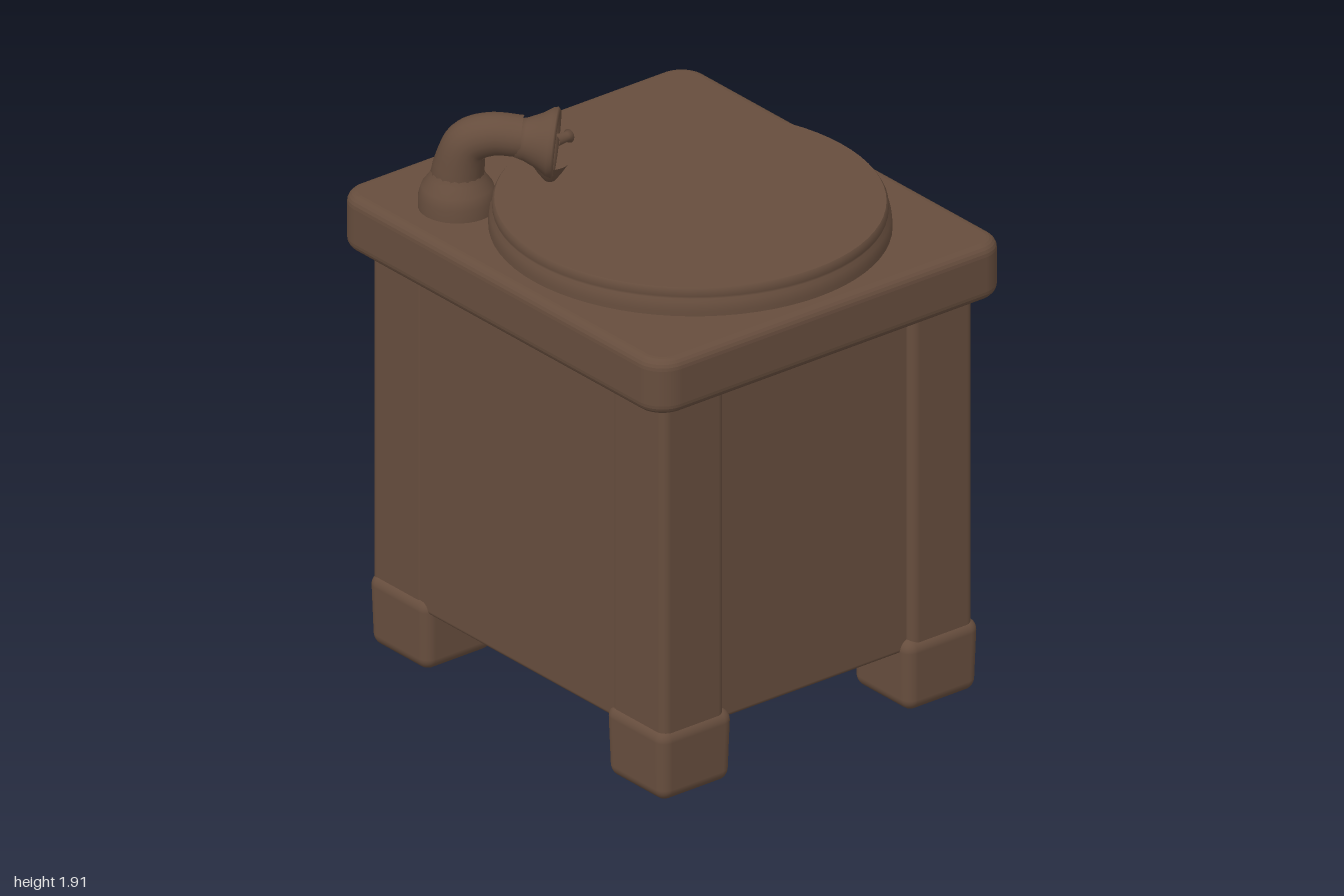
import * as THREE from 'three';
import { RoundedBoxGeometry } from 'three/addons/geometries/RoundedBoxGeometry.js';

const V = (x, y, z) => new THREE.Vector3(x, y, z);

export function createModel() {
  const model = new THREE.Group();
  model.name = 'phonographCabinet';
  const wood = new THREE.MeshStandardMaterial({ color: 0x664d3d });
  wood.name = 'brown wood';

  const add = (name, geometry) => {
    const mesh = new THREE.Mesh(geometry, wood);
    mesh.name = name;
    model.add(mesh);
    return mesh;
  };
  // Rounded box given by its limits on each axis
  const box = (name, x0, x1, y0, y1, z0, z1, r) => {
    const mesh = add(name, new RoundedBoxGeometry(x1 - x0, y1 - y0, z1 - z0, 4, r));
    mesh.position.set((x0 + x1) / 2, (y0 + y1) / 2, (z0 + z1) / 2);
    return mesh;
  };
  // Turned part along a direction; the profile lists [radius, distance]
  const turned = (name, profile, origin, dir) => {
    const pts = profile.map(([r, d]) => new THREE.Vector2(r, d));
    const mesh = add(name, new THREE.LatheGeometry(pts, 32));
    mesh.position.copy(origin);
    mesh.quaternion.setFromUnitVectors(V(0, 1, 0), dir.clone().normalize());
    return mesh;
  };
  // Bent tube with a radius that changes along its path
  const bent = (name, points, radii) => {
    const curve = new THREE.CatmullRomCurve3(points);
    const n = 48, sides = 20;
    const g = new THREE.TubeGeometry(curve, n, 1, sides);
    const p = g.attributes.position, v = V(0, 0, 0);
    for (let i = 0; i <= n; i++) {
      const c = curve.getPointAt(i / n);
      const t = (i / n) * (radii.length - 1), k = Math.min(Math.floor(t), radii.length - 2);
      const r = THREE.MathUtils.lerp(radii[k], radii[k + 1], t - k);
      for (let j = 0; j <= sides; j++) {
        const id = i * (sides + 1) + j;
        v.fromBufferAttribute(p, id).sub(c).multiplyScalar(r).add(c);
        p.setXYZ(id, v.x, v.y, v.z);
      }
    }
    return add(name, g);
  };

  // Cabinet core with recessed front, back and door
  box('cabinetBody', -0.643, 0.57, 0.2, 1.4, -0.472, 0.905, 0.015);

  // Corner posts and feet
  for (const [x0, x1, fx0, fx1] of [[-0.645, -0.395, -0.66, -0.368], [0.345, 0.594, 0.318, 0.613]]) {
    for (const [z0, z1, fz0, fz1] of [[0.67, 0.932, 0.655, 0.945], [-0.5, -0.24, -0.505, -0.212]]) {
      box('cornerPost', x0, x1, 0.1, 1.4, z0, z1, 0.03);
      const foot = box('foot', fx0, fx1, 0, 0.245, fz0, fz1, 0.04);
      const p = foot.geometry.attributes.position;
      for (let i = 0; i < p.count; i++) {
        const s = 1 - 0.05 * (0.5 - p.getY(i) / 0.245);
        p.setX(i, p.getX(i) * s);
        p.setZ(i, p.getZ(i) * s);
      }
      foot.geometry.computeBoundingSphere();
    }
  }

  // Side frame around the arched door opening (shape x runs toward -z)
  const frame = new THREE.Shape();
  frame.moveTo(-0.9, 0.22);
  frame.lineTo(-0.67, 0.22);
  frame.lineTo(-0.67, 1.0);
  frame.quadraticCurveTo(-0.67, 1.06, -0.61, 1.06);
  frame.lineTo(0.18, 1.06);
  frame.quadraticCurveTo(0.24, 1.06, 0.24, 1.0);
  frame.lineTo(0.24, 0.22);
  frame.lineTo(0.47, 0.22);
  frame.lineTo(0.47, 1.39);
  frame.lineTo(-0.9, 1.39);
  const frameGeo = new THREE.ExtrudeGeometry(frame, {
    depth: 0.03, bevelThickness: 0.015, bevelSize: 0.012, bevelOffset: -0.012, bevelSegments: 3,
  });
  frameGeo.rotateY(Math.PI / 2);
  add('doorFrame', frameGeo).position.x = 0.549;

  // Overhanging top slab with rounded corners and edges
  const slab = new THREE.Shape();
  const sx = 0.665, sz = 0.757, sr = 0.06;
  slab.absarc(sx - sr, sz - sr, sr, 0, Math.PI / 2);
  slab.absarc(-sx + sr, sz - sr, sr, Math.PI / 2, Math.PI);
  slab.absarc(-sx + sr, -sz + sr, sr, Math.PI, Math.PI * 1.5);
  slab.absarc(sx - sr, -sz + sr, sr, Math.PI * 1.5, Math.PI * 2);
  const slabGeo = new THREE.ExtrudeGeometry(slab, {
    depth: 0.12, bevelThickness: 0.035, bevelSize: 0.034, bevelSegments: 5, curveSegments: 10,
  });
  slabGeo.rotateX(-Math.PI / 2);
  add('topSlab', slabGeo).position.set(-0.023, 1.405, 0.21);

  // Turntable disc
  const discPts = [[0.632, 1.54], [0.632, 1.575], [0.628, 1.605], [0.617, 1.613], [0.62, 1.622],
    [0.62, 1.64], [0.613, 1.65], [0.613, 1.65], [0, 1.65]].map(([r, y]) => new THREE.Vector2(r, y));
  const disc = add('turntable', new THREE.LatheGeometry(discPts, 72));
  disc.position.set(-0.028, 0, 0.306);
  disc.scale.x = 0.98;

  // Door knobs
  const knob = [[0.065, -0.02], [0.062, 0.012], [0.045, 0.03], [0.038, 0.045], [0.055, 0.06],
    [0.06, 0.08], [0.052, 0.105], [0.032, 0.12], [0, 0.125]];
  turned('upperKnob', knob, V(0.594, 1.2, 0.255), V(1, 0, 0));
  turned('doorKnob', knob, V(0.582, 0.65, 0.55), V(1, 0, 0));

  // Crank on the back
  bent('crankArm', [V(-0.015, 1.01, -0.46), V(-0.015, 1.01, -0.54), V(-0.015, 0.995, -0.61),
    V(-0.015, 0.92, -0.645), V(-0.015, 0.82, -0.65), V(-0.015, 0.765, -0.69), V(-0.015, 0.76, -0.76)],
  [0.11, 0.075, 0.06, 0.055, 0.055, 0.058, 0.06, 0.062]);
  turned('crankHandle', [[0, 0], [0.055, 0], [0.073, 0.012], [0.08, 0.05], [0.092, 0.22], [0.098, 0.268],
    [0.094, 0.283], [0.082, 0.288], [0, 0.29]], V(-0.015, 0.762, -0.71), V(0, 0, -1));

  // Sound arm: flared base, bent neck and bell
  turned('armBase', [[0.122, 0], [0.122, 0.05], [0.112, 0.085], [0.09, 0.115], [0.08, 0.14]],
    V(-0.503, 1.55, -0.25), V(0, 1, 0));
  bent('soundArm', [V(-0.503, 1.6, -0.25), V(-0.5, 1.7, -0.247), V(-0.48, 1.785, -0.225),
    V(-0.43, 1.815, -0.175), V(-0.36, 1.812, -0.105)], [0.09, 0.085, 0.075, 0.07, 0.067, 0.066]);
  turned('soundBell', [[0, -0.01], [0.06, 0], [0.068, 0.03], [0.088, 0.075], [0.108, 0.105], [0.112, 0.12],
    [0.102, 0.128], [0.085, 0.115], [0.065, 0.08], [0.05, 0.05], [0, 0.045]],
  V(-0.375, 1.805, -0.12), V(0.7, -0.08, 0.7));
  turned('bellTip', [[0.06, 0], [0.038, 0.035], [0.018, 0.062], [0, 0.072]],
    V(-0.302, 1.73, -0.045), V(0, -1, 0));
  turned('needle', [[0.02, 0], [0.016, 0.05], [0.022, 0.065], [0, 0.08]],
    V(-0.245, 1.765, -0.09), V(1, -0.1, -0.15));
  return model;
}
